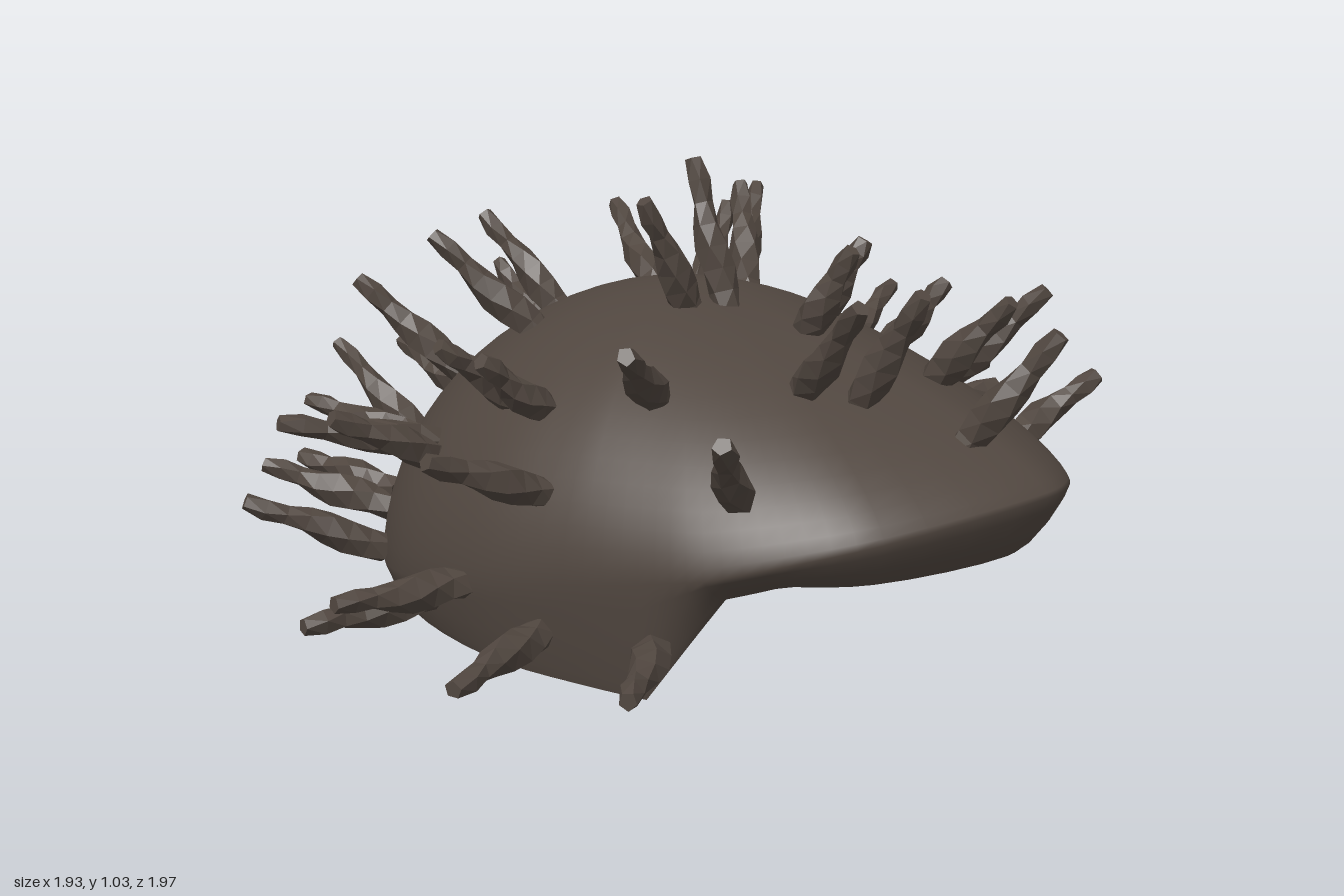
import * as THREE from 'three';

const hair = new THREE.MeshStandardMaterial({ name: 'dark brown hair', color: 0x50463f, side: THREE.DoubleSide });
const lockHair = new THREE.MeshStandardMaterial({ name: 'dark brown locks', color: 0x50463f, side: THREE.DoubleSide, flatShading: true });

// widest outline of the cap, seen from above: x, z
const outline = [
  [0.1, 0.98], [0.22, 0.95], [0.37, 0.85], [0.49, 0.71], [0.555, 0.6], [0.605, 0.47], [0.69, 0.18], [0.745, -0.1],
  [0.7, -0.35], [0.62, -0.51], [0.48, -0.65], [0.3, -0.73], [0.05, -0.77], [-0.2, -0.71], [-0.37, -0.61], [-0.52, -0.45],
  [-0.63, -0.23], [-0.66, 0.05], [-0.61, 0.3], [-0.56, 0.47], [-0.51, 0.6], [-0.42, 0.73], [-0.28, 0.86],
];

// locks by region, each: base x, base z, tip x, tip z, tip y
const backLocks = [
  [-0.23, -0.65, -0.29, -0.95, 0.5], [-0.12, -0.67, -0.11, -0.98, 0.25], [-0.07, -0.64, -0.1, -0.93, 0.48],
  [0.05, -0.67, 0.01, -0.96, 0.42], [0.11, -0.53, 0.14, -0.8, 0.68], [-0.37, -0.5, -0.47, -0.82, 0.4],
  [-0.45, -0.48, -0.53, -0.77, 0.28], [-0.25, -0.46, -0.41, -0.67, 0.72], [-0.48, -0.47, -0.68, -0.7, 0.3],
  [-0.56, -0.38, -0.83, -0.54, 0.28], [0.43, -0.64, 0.53, -0.89, 0.24], [0.47, -0.58, 0.6, -0.78, 0.43],
  [0.53, -0.44, 0.8, -0.67, 0.64], [0.62, -0.4, 0.8, -0.58, 0.42],
];
const sideLocks = [
  [-0.52, -0.22, -0.85, -0.35, 0.5], [-0.52, -0.19, -0.8, -0.22, 0.53], [-0.65, -0.08, -0.96, -0.12, 0.13],
  [-0.65, 0.03, -0.96, 0, 0.21], [-0.37, 0, -0.64, -0.05, 0.69], [-0.38, 0.08, -0.65, 0.1, 0.68],
  [-0.56, 0.2, -0.86, 0.19, 0.53], [-0.61, 0.23, -0.92, 0.33, 0.12], [-0.35, 0.31, -0.62, 0.5, 0.75],
  [-0.49, 0.46, -0.75, 0.64, 0.14], [-0.39, 0.58, -0.6, 0.73, 0.62], [0.67, -0.18, 0.96, -0.22, 0.43],
  [0.66, -0.16, 0.9, -0.19, 0.44], [0.7, -0.19, 0.94, -0.21, 0.12], [0.57, 0.02, 0.88, -0.03, 0.62],
  [0.66, 0.06, 0.95, 0.07, 0.27], [0.6, 0.2, 0.93, 0.28, 0.39], [0.57, 0.17, 0.87, 0.29, 0.46],
  [0.61, 0.31, 0.92, 0.36, 0.12],
];
const crownLocks = [
  [-0.23, -0.18, -0.4, -0.38, 0.86], [-0.02, -0.33, -0.09, -0.57, 0.86], [0.2, -0.25, 0.32, -0.53, 0.85],
  [0.3, -0.03, 0.45, -0.2, 0.92], [0.33, -0.1, 0.56, -0.24, 0.9], [0.36, -0.24, 0.57, -0.36, 0.84],
  [0.33, 0.28, 0.57, 0.37, 0.72], [0.18, 0.21, 0.3, 0.33, 0.85], [0.05, 0.3, 0.07, 0.48, 0.87],
  [-0.04, 0.13, -0.21, 0.13, 0.97], [0, 0.18, 0, 0.07, 1.04], [-0.13, 0.5, -0.22, 0.74, 0.82],
  [-0.06, 0.58, -0.06, 0.77, 0.83], [0.18, 0.55, 0.22, 0.79, 0.78], [0.28, 0.53, 0.42, 0.75, 0.77],
  [0.45, 0.61, 0.66, 0.74, 0.54], [0.03, 0.78, 0.13, 0.97, 0.75],
];

const { lerp, clamp } = THREE.MathUtils;
const ramp = (v, a, b) => clamp((v - a) / (b - a), 0, 1);

// Open dome: each meridian curls from the tucked rim out to the widest line, then up to the crown
function capGeometry() {
  const curve = new THREE.CatmullRomCurve3(outline.map(([x, z]) => new THREE.Vector3(x, 0, z)), true);
  const columns = outline.length * 4, lower = 4, upper = 18, ring = lower + upper;
  const positions = [], index = [];
  for (let i = 0; i < columns; i++) {
    const e = curve.getPoint(i / columns);
    const front = ramp(e.z, 0.47, 0.6), brim = ramp(e.z, 0.6, 0.98);
    const wideY = lerp(lerp(0.08, 0.3, ramp(e.z, -0.5, 0.6)), 0.42, brim);
    const rimY = e.z < 0.47 ? lerp(0.05, 0.015, ramp(e.z, -0.7, 0.2)) : lerp(0.015, 0.24, front) + 0.035 * ramp(brim, 0, 0.3);
    const power = lerp(1.9, 1.35, ramp(e.z, 0.3, 0.98));
    const rimX = 0.04 + (e.x - 0.04) * lerp(0.95, 0.86, front), rimZ = e.z * lerp(0.98, 0.91, brim);
    for (let j = 0; j < lower; j++) {
      const a = (j / lower) * Math.PI / 2;
      const out = Math.sin(a) ** 1.6, up = 1 - Math.cos(a) ** 1.6;
      positions.push(lerp(rimX, e.x, out), lerp(rimY, wideY, up), lerp(rimZ, e.z, out));
    }
    for (let j = 0; j < upper; j++) {
      const a = (j / upper) * Math.PI / 2;
      const out = Math.cos(a) ** (2 / power), up = Math.sin(a) ** (2 / power);
      positions.push(lerp(0.04, e.x, out), lerp(wideY, 0.75, up), e.z * out);
    }
  }
  const crown = columns * ring;
  positions.push(0.04, 0.75, 0);
  for (let i = 0; i < columns; i++) {
    const a = i * ring, b = ((i + 1) % columns) * ring;
    for (let j = 0; j < ring - 1; j++) index.push(a + j, b + j, b + j + 1, a + j, b + j + 1, a + j + 1);
    index.push(a + ring - 1, b + ring - 1, crown);
  }
  const geometry = new THREE.BufferGeometry();
  geometry.setAttribute('position', new THREE.Float32BufferAttribute(positions, 3));
  geometry.setIndex(index);
  geometry.computeVertexNormals();
  return geometry;
}

// Twisted lock with a thick body, narrow neck and blunt tip, one unit tall
function lockGeometry() {
  const radii = [0.035, 0.038, 0.043, 0.043, 0.034, 0.025, 0.028, 0.02];
  const geometry = new THREE.CylinderGeometry(1, 1, 1, 5, radii.length - 1);
  geometry.translate(0, 0.5, 0);
  const p = geometry.attributes.position;
  for (let i = 0; i < p.count; i++) {
    const y = p.getY(i), r = radii[Math.round(y * (radii.length - 1))];
    const twist = y * 2.4, c = Math.cos(twist), s = Math.sin(twist);
    const x = p.getX(i) * r, z = p.getZ(i) * r * 0.9;
    p.setXYZ(i, x * c - z * s + 0.004 * Math.sin(y * 9), y, x * s + z * c);
  }
  geometry.computeVertexNormals();
  return geometry;
}

export function createModel() {
  const model = new THREE.Group();
  model.name = 'spikyHair';

  const cap = new THREE.Mesh(capGeometry(), hair);
  cap.name = 'hairCap';
  model.add(cap);

  const geometry = lockGeometry(), up = new THREE.Vector3(0, 1, 0), down = new THREE.Vector3(0, -1, 0);
  const capHit = (from, direction) => new THREE.Raycaster(from, direction).intersectObject(cap)[0];
  const regions = { backLocks, sideLocks, crownLocks };
  for (const [name, locks] of Object.entries(regions)) {
    const group = new THREE.Group();
    group.name = name;
    locks.forEach(([bx, bz, tx, tz, ty], i) => {
      // low locks stand out level, high ones rise; every root sits just under the cap
      const reach = Math.hypot(tx - bx, tz - bz);
      const rise = Math.sqrt(Math.max(0, 0.36 ** 2 - reach ** 2)) * ramp(ty, 0.12, 0.75);
      const above = capHit(new THREE.Vector3(bx, 2, bz), down);
      const base = new THREE.Vector3(bx, Math.min(ty - rise, above ? above.point.y - 0.02 : ty), bz);
      const tip = new THREE.Vector3(tx, ty, tz);
      const inward = base.clone().sub(tip).normalize();
      const entry = capHit(tip, inward);
      const length = Math.min(base.distanceTo(tip), entry ? entry.distance + 0.045 : Infinity);
      const lock = new THREE.Mesh(geometry, lockHair);
      lock.name = 'lock';
      lock.position.copy(tip).addScaledVector(inward, length);
      lock.scale.y = length;
      lock.quaternion.setFromUnitVectors(up, inward.negate());
      lock.rotateY(i * 2.4);
      group.add(lock);
    });
    model.add(group);
  }
  return model;
}
